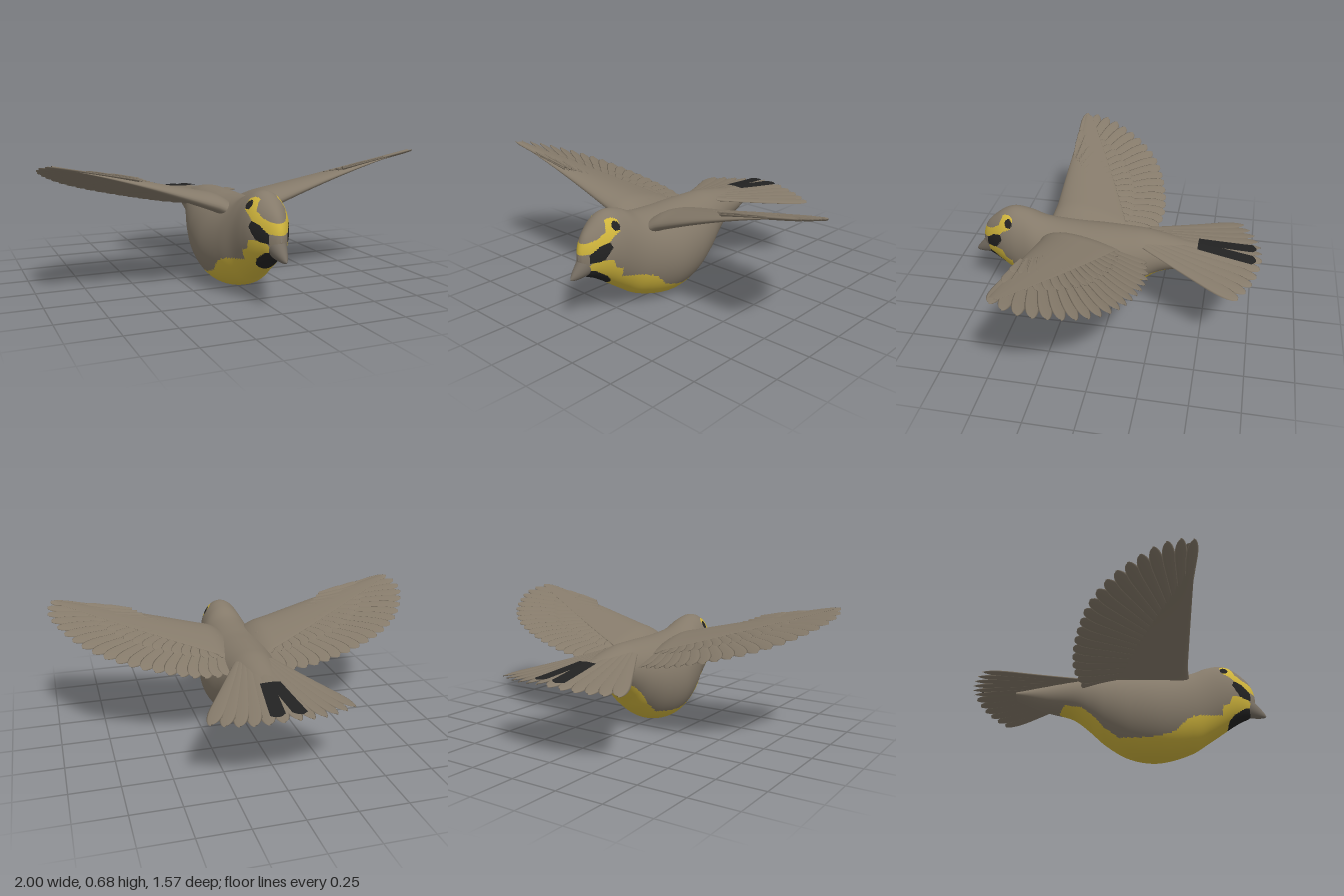
import * as THREE from 'three';

const mat = (name, color) => {
  const m = new THREE.MeshStandardMaterial({ color, side: THREE.DoubleSide });
  m.name = name;
  return m;
};

// Surface from a rule fn(u, v) -> [x, y, z]; wrap closes it around v; paint picks a material index per quad
function surface(nu, nv, fn, wrap = false, paint = null) {
  const cols = wrap ? nv : nv + 1, pos = [], lists = [[], [], []];
  for (let i = 0; i <= nu; i++)
    for (let j = 0; j < cols; j++) pos.push(...fn(i / nu, j / nv));
  for (let i = 0; i < nu; i++)
    for (let j = 0; j < nv; j++) {
      const k = (j + 1) % cols;
      const a = i * cols + j, b = i * cols + k, c = a + cols, d = b + cols;
      const slot = paint ? paint(...fn((i + 0.5) / nu, (j + 0.5) / nv)) : 0;
      lists[slot].push(a, b, c, b, d, c);
    }
  const g = new THREE.BufferGeometry();
  g.setAttribute('position', new THREE.Float32BufferAttribute(pos, 3));
  g.setIndex(lists.flat());
  if (paint) {
    let start = 0;
    lists.forEach((l, s) => { g.addGroup(start, l.length, s); start += l.length; });
  }
  g.computeVertexNormals();
  return g;
}

// Is the point (z, y) inside a side-view outline?
function inside(poly, z, y) {
  let hit = false;
  for (let i = 0, j = poly.length - 1; i < poly.length; j = i++) {
    const [az, ay] = poly[i], [bz, by] = poly[j];
    if (ay > y !== by > y && z < ((bz - az) * (y - ay)) / (by - ay) + az) hit = !hit;
  }
  return hit;
}

const curve2 = pts => new THREE.CatmullRomCurve3(pts.map(([x, z]) => new THREE.Vector3(x, 0, z)));
const lerp = THREE.MathUtils.lerp;

// Body stations: z, top y, bottom y, half width
const STATIONS = [
  [0.732, 0.35, 0.33, 0.004], [0.725, 0.39, 0.285, 0.022], [0.70, 0.445, 0.245, 0.048],
  [0.65, 0.495, 0.22, 0.081], [0.60, 0.53, 0.19, 0.106], [0.55, 0.545, 0.155, 0.121],
  [0.47, 0.532, 0.10, 0.137], [0.38, 0.495, 0.045, 0.165], [0.20, 0.475, 0, 0.205],
  [0.05, 0.475, 0.025, 0.195], [-0.08, 0.475, 0.105, 0.165], [-0.16, 0.473, 0.18, 0.14],
  [-0.25, 0.46, 0.25, 0.115], [-0.40, 0.43, 0.295, 0.085], [-0.56, 0.40, 0.365, 0.045],
];

// Plumage patches as side outlines (z, y)
const BROW = [[0.75, 0.36], [0.75, 0.41], [0.70, 0.42], [0.66, 0.437], [0.62, 0.465], [0.60, 0.515],
  [0.57, 0.523], [0.54, 0.51], [0.55, 0.46], [0.59, 0.44], [0.62, 0.41], [0.68, 0.372]];
const LORES = [[0.70, 0.365], [0.65, 0.407], [0.61, 0.418], [0.60, 0.39], [0.64, 0.33], [0.70, 0.32]];
const BIB = [[0.75, 0.30], [0.67, 0.275], [0.61, 0.235], [0.58, 0.20], [0.57, 0.15], [0.75, 0.15]];
const BELLY = [[0.68, 0.335], [0.60, 0.33], [0.58, 0.28], [0.545, 0.27], [0.54, 0.22], [0.41, 0.20],
  [0.36, 0.18], [0.29, 0.11], [0.2, 0.08], [0.1, 0.078], [0, 0.09], [-0.08, 0.15], [-0.13, 0.21],
  [-0.2, 0.27], [-0.29, 0.295], [-0.325, 0.27], [-0.25, 0.2], [0, -0.1], [0.6, -0.1], [0.75, 0.24]];

function plumage(x, y, z) {
  if (Math.hypot(z - 0.562, y - 0.485) < 0.021) return 2; // eye
  if (inside(BIB, z, y) && Math.abs(x) < 0.066) return 2;
  if (inside(LORES, z, y) && Math.abs(x) > 0.035) return 2;
  if (inside(BROW, z, y) || inside(BELLY, z, y)) return 1;
  return 0;
}

// Heights of the wing and tail planes
const wingY = (x, z) => 0.505 + 0.19 * Math.abs(x) - 0.26 * (0.36 - z);
const tailY = (x, z) => {
  const d = z + 0.785;
  return 0.39 + 0.09 * d + 0.05 * d * d - 0.06 * Math.abs(x);
};

// One thin solid feather lying on the height rule, with a raised shaft and one lifted edge
function feather([rx, rz], [tx, tz], width, height, tilt) {
  const len = Math.hypot(tx - rx, tz - rz), dx = (tx - rx) / len, dz = (tz - rz) / len;
  return surface(13, 10, (u, q) => {
    const t = Math.sin(u * Math.PI / 2), a = q * Math.PI * 2, v = Math.cos(a);
    const round = t > 0.8 ? Math.sqrt(Math.max(0, 1 - ((t - 0.8) / 0.2) ** 2)) : 1;
    const w = width * Math.min(1, 0.4 + 0.8 * t) * round * v;
    const x = rx + dx * len * t - dz * w, z = rz + dz * len * t + dx * w;
    return [x, height(x, z) + 0.006 * round * Math.sin(a) + tilt * v, z];
  }, true);
}

export function createModel() {
  const taupe = mat('taupe plumage', 0x857a6a);
  const yellow = mat('yellow plumage', 0xd0b53c);
  const black = mat('black markings', 0x222222);
  const horn = mat('grey beak', 0x756d62);

  const model = new THREE.Group();
  model.name = 'bird';
  const add = (parent, name, geo, material) => {
    const m = new THREE.Mesh(geo, material);
    m.name = name;
    parent.add(m);
  };

  // Head and body in one loft
  const upper = new THREE.CatmullRomCurve3(STATIONS.map(([z, t]) => new THREE.Vector3(0, t, z)));
  const lower = new THREE.CatmullRomCurve3(STATIONS.map(([z, , b, w]) => new THREE.Vector3(w, b, z)));
  const bodyPoint = (u, v) => {
    const a = upper.getPoint(u), b = lower.getPoint(u), ang = v * Math.PI * 2;
    const mid = (a.y + b.y) / 2, half = (a.y - b.y) / 2;
    return [b.x * Math.sin(ang), mid + half * Math.cos(ang), lerp(a.z, b.z, 0.5 - 0.5 * Math.cos(ang))];
  };
  add(model, 'body', surface(290, 160, bodyPoint, true, plumage), [taupe, yellow, black]);

  // Beak, growing out of the face
  add(model, 'beak', surface(16, 28, (t, v) => {
    const a = v * Math.PI * 2, r = (1 - t) ** 0.7;
    return [0.056 * r * Math.sin(a), lerp(0.325, 0.25, t) + 0.074 * r * Math.cos(a), lerp(0.665, 0.787, t)];
  }, true), horn);

  for (const s of [1, -1]) {
    const side = s > 0 ? 'left' : 'right';
    const wing = new THREE.Group();
    wing.name = side + 'Wing';
    model.add(wing);

    // Arm: a thick, round-nosed airfoil tapering from the shoulder to the wing tip
    add(wing, side + 'WingArm', surface(36, 36, (u, v) => {
      const x = lerp(0.02, 0.95, u), a = v * Math.PI * 2, c = 0.5 + 0.5 * Math.cos(a);
      const front = 0.362 + 0.05 * Math.max(0, 1 - x / 0.22) ** 2;
      const back = lerp(-0.08, 0.32, u ** 1.1);
      const thick = 0.014 + 0.15 * (1 - u) ** 1.6;
      const z = lerp(back, front, c);
      const h = thick * 0.5 * Math.sin(a) * (0.25 + 0.75 * c);
      const nose = 0.25 * thick * c ** 4;
      const sink = 0.09 * Math.max(0, 1 - x / 0.16) ** 2;
      return [s * x, wingY(x, z) - thick * 0.45 * c + h - nose - sink, z];
    }, true), taupe);

    // Flight feathers and two rows of coverts fanned between root and tip curves
    const roots = curve2([[0.11, 0.15], [0.25, 0.18], [0.38, 0.22], [0.48, 0.28], [0.55, 0.34]]);
    const tips = curve2([[0.15, -0.2], [0.3, -0.23], [0.45, -0.22], [0.6, -0.185], [0.75, -0.125],
      [0.87, -0.03], [0.95, 0.085], [0.998, 0.2], [1.0, 0.285], [0.98, 0.348]]);
    const rows = [
      ['FlightFeather', 20, 1, 0.044, -0.012],
      ['LongCovert', 18, 0.58, 0.034, -0.006],
      ['ShortCovert', 16, 0.33, 0.028, -0.003],
    ];
    for (const [name, count, reach, width, lift] of rows)
      for (let i = 0; i < count; i++) {
        const k = i / (count - 1), r = roots.getPointAt(k), t = tips.getPointAt(k);
        const end = r.clone().lerp(t, reach);
        const w = width * (1 - 0.35 * k);
        add(wing, side + name, feather([s * r.x, r.z], [s * end.x, end.z], w,
          (x, z) => wingY(x, z) + lift, s * 0.004), taupe);
      }

    // Dark mark on the tail, a thin face following the middle feathers
    add(model, side + 'TailMark', surface(16, 6, (t, v) => {
      const inner = 0.016 * Math.max(0, (t - 0.45) / 0.55);
      const x = s * lerp(inner, 0.052 + 0.038 * t, v);
      const z = -0.45 - 0.285 * t - 0.022 * t * Math.sin(Math.PI * v);
      return [x, tailY(x, z) + 0.006, z];
    }), black);
  }

  // Tail fan, middle feathers on top
  const tail = new THREE.Group();
  tail.name = 'tail';
  model.add(tail);
  const n = 12;
  for (let i = 0; i < n; i++) {
    const k = (i / (n - 1)) * 2 - 1, a = k * 0.475, len = 0.788 - 0.022 * k * k;
    const at = r => [Math.sin(a) * r, -Math.cos(a) * r];
    add(tail, 'tailFeather', feather(at(0.2), at(len), 0.041,
      (x, z) => tailY(x, z) - 0.005 - 0.016 * Math.abs(k), -0.004 * Math.sign(k)), taupe);
  }
  return model;
}
